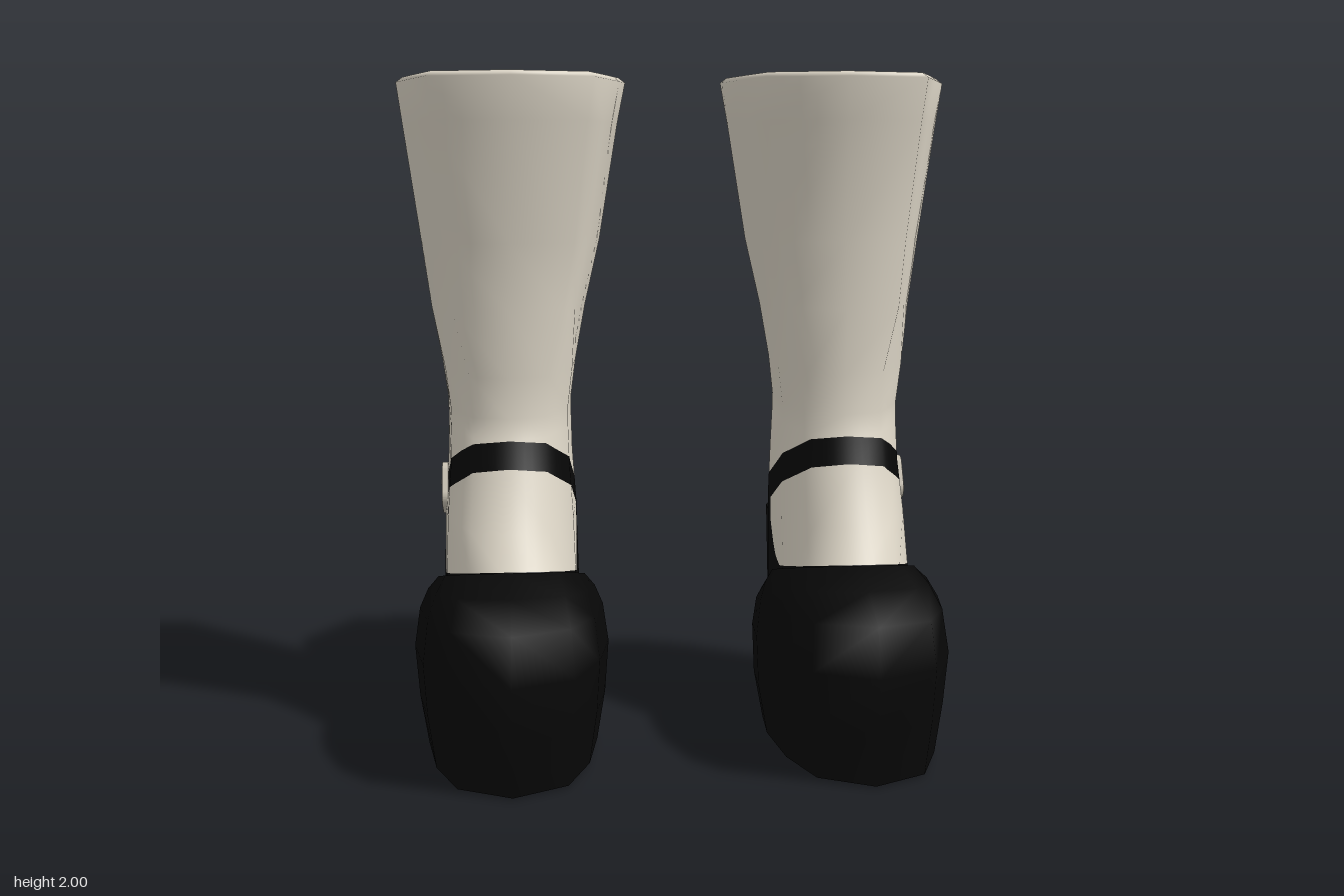
import * as THREE from 'three';

const sock = new THREE.MeshStandardMaterial({ color: 0xdbd4c5 });
sock.name = 'ivory sock';
const leather = new THREE.MeshStandardMaterial({ color: 0x070707 });
leather.name = 'black leather';
const metal = new THREE.MeshStandardMaterial({ color: 0xc8c1b2 });
metal.name = 'pale buckle metal';

const CX = 0.507; // distance of each boot from the middle

// Half outlines (across, along, sag), front to back, completed by mirroring
const mirror = half => half.concat(half.slice(1, -1).reverse().map(([u, ...r]) => [-u, ...r]));
const LEG = mirror([[0, 1, 0], [0.7, 0.82, 0.1], [0.86, 0.4, 0.6], [1, 0, 1], [0.84, -0.37, 0], [0.55, -0.93, 0], [0, -1, 0]]);
const FOOT = mirror([[0, 1, 0], [0.57, 0.92, 0.1], [0.93, 0.52, 0.6], [1, 0, 1], [0.88, -0.37, 0], [0.6, -0.92, 0], [0, -1, 0]]);
const PLATFORM = mirror([[0, 1], [0.62, 0.89], [0.88, 0.66], [1, 0.38], [0.98, 0.18, 0.3], [0.74, 0, 1], [0, 0, 1]]);
const HEEL = mirror([[0, 1], [0.9, 1, -1], [0.88, 0.5, -0.6], [0.62, 0.1], [0, 0]]);

// Leg ring through a front and a back point, with sagging sides
function legRing([zf, yf, zb, yb, w, dx = 0, sag = 0], inset = 0) {
  return (yf > 1.15 ? LEG : FOOT).map(([u, v, s]) => new THREE.Vector3(
    dx + u * (w - inset),
    (yf + yb) / 2 + v * (yf - yb) / 2 - s * sag,
    (zf + zb) / 2 + v * ((zf - zb) / 2 - inset)));
}

// Block ring whose height slopes from front to back, lowered at marked points
const blockRing = outline => ([zf, yf, zb, yb, w, sag = 0]) => outline.map(([u, t, s = 0]) =>
  new THREE.Vector3(u * w, yb + (yf - yb) * t - s * sag, zb + (zf - zb) * t));

// Smooth skin over rings listed from bottom to top, with optional end caps
function loft(rings, capped) {
  const n = rings[0].length, pts = rings.flat(), index = [];
  for (let i = 0; i < rings.length - 1; i++) {
    for (let j = 0; j < n; j++) {
      const a = i * n + j, b = i * n + (j + 1) % n;
      index.push(a, b, b + n, a, b + n, a + n);
    }
  }
  if (capped) {
    for (const [ring, up] of [[rings[0], false], [rings.at(-1), true]]) {
      const base = pts.length;
      const mid = ring.reduce((s, p) => s.add(p), new THREE.Vector3()).divideScalar(n);
      pts.push(...ring, mid);
      for (let j = 0; j < n; j++) {
        const a = base + j, b = base + (j + 1) % n;
        index.push(base + n, up ? a : b, up ? b : a);
      }
    }
  }
  const g = new THREE.BufferGeometry().setFromPoints(pts);
  g.setIndex(index);
  g.computeVertexNormals();
  return g;
}

const mix = (a, b, t) => a.map((v, i) => v + (b[i] - v) * t);

// Split every triangle into n * n smaller ones; a corner is position + normal
function subdivide(geometry, n) {
  const g = geometry.toNonIndexed(), p = g.attributes.position, q = g.attributes.normal, out = [];
  const corner = i => [p.getX(i), p.getY(i), p.getZ(i), q.getX(i), q.getY(i), q.getZ(i)];
  for (let i = 0; i < p.count; i += 3) {
    const [a, b, c] = [corner(i), corner(i + 1), corner(i + 2)];
    const at = (r, s) => a.map((v, k) => v + (b[k] - v) * r / n + (c[k] - v) * s / n);
    for (let r = 0; r < n; r++) {
      for (let s = 0; s < n - r; s++) {
        out.push([at(r, s), at(r + 1, s), at(r, s + 1)]);
        if (r + s < n - 1) out.push([at(r + 1, s), at(r + 1, s + 1), at(r, s + 1)]);
      }
    }
  }
  return out;
}

// Keep the part of the triangles where f is positive
function clip(triangles, f) {
  const pos = [], nor = [];
  for (const tri of triangles) {
    const poly = [];
    tri.forEach((a, i) => {
      const b = tri[(i + 1) % 3], fa = f(a), fb = f(b);
      if (fa >= 0) poly.push(a);
      if (fa >= 0 !== fb >= 0) poly.push(mix(a, b, fa / (fa - fb)));
    });
    for (let i = 1; i < poly.length - 1; i++) {
      for (const v of [poly[0], poly[i], poly[i + 1]]) {
        pos.push(...v.slice(0, 3));
        nor.push(...v.slice(3));
      }
    }
  }
  const g = new THREE.BufferGeometry();
  g.setAttribute('position', new THREE.Float32BufferAttribute(pos, 3));
  g.setAttribute('normal', new THREE.Float32BufferAttribute(nor, 3));
  return g;
}

// Edge of the shoe opening: height for each z, from toe to heel
const TOPLINE = [[0.28, 0.575], [0.12, 0.535], [0, 0.51], [-0.08, 0.53], [-0.2, 0.67], [-0.3, 0.8], [-0.42, 0.92], [-0.51, 1.0]];
function topline(z) {
  if (z >= TOPLINE[0][0]) return TOPLINE[0][1];
  for (let i = 1; i < TOPLINE.length; i++) {
    const [z0, y0] = TOPLINE[i - 1], [z1, y1] = TOPLINE[i];
    if (z >= z1) return y0 + (y1 - y0) * (z - z0) / (z1 - z0);
  }
  return 1.0;
}
// Positive on the shoe upper and on the ankle strap
const onLeather = ([, y, z]) => Math.max(
  topline(z) - y,
  0.043 - Math.abs(y - 0.878 - 0.58 * (z - 0.07)) * 0.865);

function createBoot() {
  const boot = new THREE.Group();
  const add = (name, geometry, material) => {
    const m = new THREE.Mesh(geometry, material);
    m.name = name;
    boot.add(m);
  };

  // Leg and foot, top to bottom: front z, y, back z, y, half width, side shift, sag
  const legRows = [
    [0.09, 2.0, -0.5, 1.975, 0.325, -0.017], [0.115, 1.985, -0.52, 1.96, 0.345, -0.017],
    [0.08, 1.86, -0.508, 1.84, 0.325, -0.013], [0.035, 1.5, -0.465, 1.5, 0.272, -0.009],
    [0.03, 1.3, -0.445, 1.3, 0.235], [0.022, 1.1, -0.44, 1.17, 0.205],
    [0.03, 0.98, -0.475, 1.05, 0.19], [0.05, 0.92, -0.51, 1.0, 0.19],
    [0.1, 0.81, -0.588, 0.87, 0.193], [0.18, 0.66, -0.602, 0.72, 0.203],
    [0.3, 0.54, -0.59, 0.6, 0.21, 0, 0.21],
  ];
  const skin = subdivide(loft(legRows.map(r => legRing(r)).reverse()), 5);
  add('sockLeg', clip(skin, v => -onLeather(v)), sock);
  add('shoeUpperAndStrap', clip(skin, onLeather), leather);

  // Inside of the sock, facing inward; open under the arch
  add('sockLining', loft([legRing(legRows[0]), ...legRows.map(r => legRing(r, 0.012))]), sock);

  // Platform with toe cap, bottom to top
  add('platform', loft([
    [0.572, 0.01, -0.12, 0.035, 0.25], [0.59, 0.17, -0.155, 0.17, 0.275],
    [0.605, 0.33, -0.125, 0.33, 0.285], [0.56, 0.465, -0.14, 0.42, 0.27, 0.07],
    [0.42, 0.53, -0.14, 0.45, 0.248, 0.1], [0.28, 0.573, -0.14, 0.46, 0.22, 0.11],
  ].map(blockRing(PLATFORM)), true), leather);

  // Block heel
  add('heel', loft([
    [-0.31, 0.005, -0.578, 0.04, 0.185, 0.025], [-0.318, 0.4, -0.58, 0.4, 0.193],
    [-0.32, 0.6, -0.592, 0.61, 0.198],
  ].map(blockRing(HEEL)), true), leather);

  // Buckle frame and prong on the outer side
  const rounded = (P, s, r) => {
    const p = new P(), c = s - r;
    [[c, c, 0], [-c, c, 1], [-c, -c, 2], [c, -c, 3]].forEach(([x, y, k]) =>
      p.absarc(x, y, r, k * Math.PI / 2, (k + 1) * Math.PI / 2, false));
    p.closePath();
    return p;
  };
  const frame = rounded(THREE.Shape, 0.066, 0.03);
  frame.holes.push(rounded(THREE.Path, 0.051, 0.02));
  const buckle = new THREE.Group();
  buckle.name = 'buckle';
  const frameMesh = new THREE.Mesh(new THREE.ExtrudeGeometry(frame, {
    depth: 0.012, bevelSize: 0.004, bevelThickness: 0.004, bevelSegments: 2, curveSegments: 5,
  }), metal);
  frameMesh.name = 'buckleFrame';
  const prong = new THREE.Mesh(new THREE.BoxGeometry(0.06, 0.014, 0.014), metal);
  prong.name = 'buckleProng';
  prong.position.set(-0.028, 0, 0.01);
  buckle.add(frameMesh, prong);
  buckle.rotation.set(0, Math.PI / 2, -0.5, 'YXZ');
  buckle.position.set(0.195, 0.735, -0.18);
  boot.add(buckle);

  boot.position.x = CX;
  return boot;
}

export function createModel() {
  const model = new THREE.Group();
  model.name = 'platformShoesWithSocks';
  for (const [name, side] of [['left', 1], ['right', -1]]) {
    const half = new THREE.Group();
    half.name = name + 'Boot';
    half.scale.x = side;
    half.add(createBoot());
    model.add(half);
  }
  return model;
}
